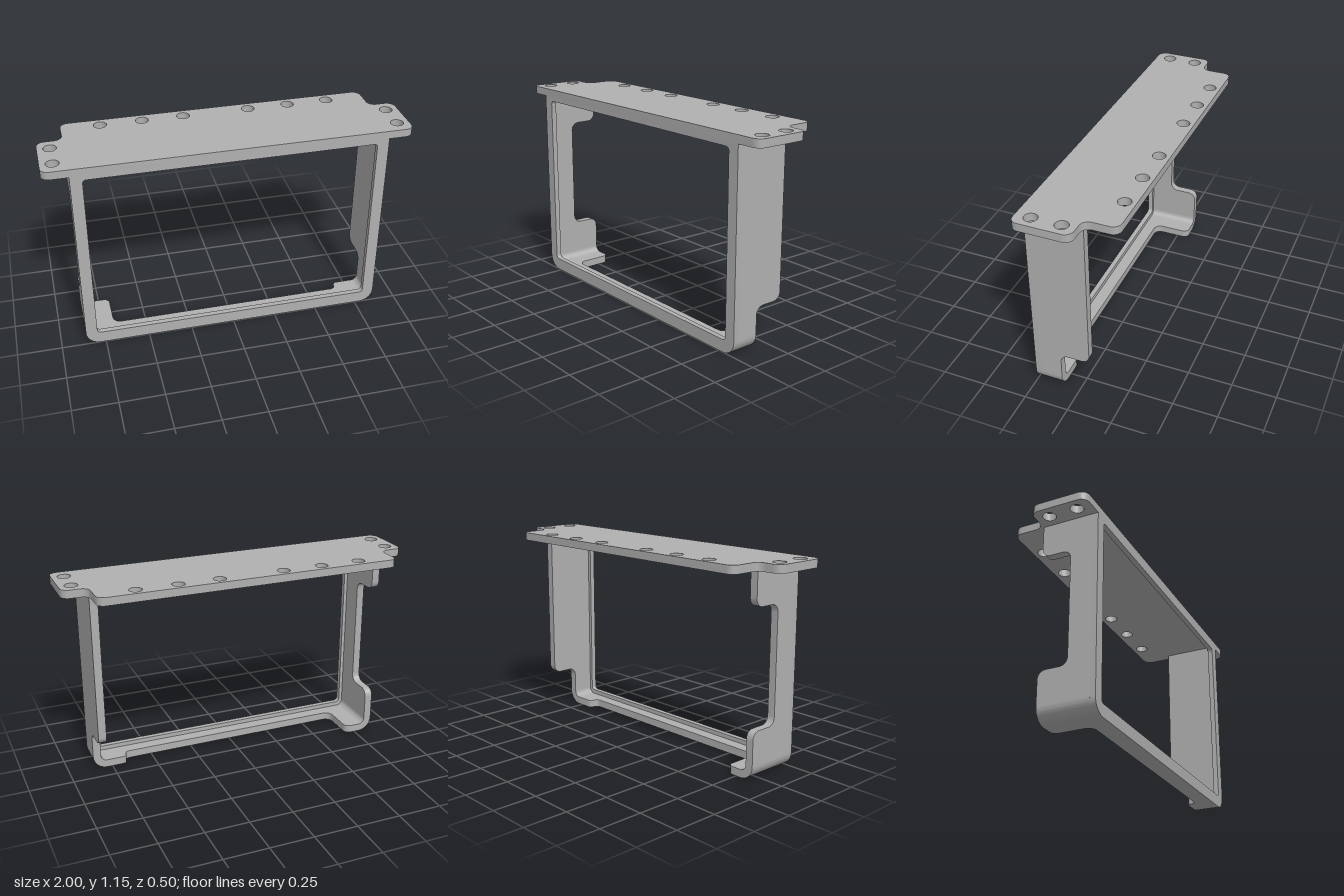
import * as THREE from 'three';
import { toCreasedNormals } from 'three/addons/utils/BufferGeometryUtils.js';

// Closed outline from [x, y, cornerRadius] points, with circular corners
function rounded(points, path = new THREE.Shape()) {
  const n = points.length;
  points.forEach(([x, y, r = 0], i) => {
    const toward = ([px, py], d) => {
      const l = Math.hypot(px - x, py - y);
      return [x + (px - x) * d / l, y + (py - y) * d / l];
    };
    const prev = points[(i + n - 1) % n], next = points[(i + 1) % n];
    const a = toward(prev, r), b = toward(next, r);
    if (i === 0) path.moveTo(...a); else path.lineTo(...a);
    if (r > 0) path.bezierCurveTo(...toward(prev, r * 0.448), ...toward(next, r * 0.448), ...b);
  });
  path.closePath();
  return path;
}

function extrude(shape, depth) {
  return new THREE.ExtrudeGeometry(shape, { depth, bevelEnabled: false, curveSegments: 10 });
}

export function createModel() {
  const group = new THREE.Group();
  const metal = new THREE.MeshStandardMaterial({ color: 0xb0b0b0 });
  metal.name = 'grey metal';

  const add = (name, geometry, x = 0, y = 0, z = 0) => {
    const mesh = new THREE.Mesh(toCreasedNormals(geometry, 0.5), metal);
    mesh.name = name;
    mesh.position.set(x, y, z);
    group.add(mesh);
  };

  const T = 0.045;                 // sheet thickness
  const W = 0.86, R = 0.08;        // half width and outer corner radius
  const front = 0.25, lipBack = 0.22, mid = 0.095, back = -0.07;
  const under = 1.15 - T;          // underside of the top plate

  // Top plate with stepped ends and screw holes
  const plate = rounded([
    [-1, front, 0.045], [-1, back, 0.045], [-W, back, 0.045], [-W, -0.25, 0.045],
    [W, -0.25, 0.045], [W, back, 0.045], [1, back, 0.045], [1, front, 0.045],
  ]);
  const holes = [[0.645, -0.19], [0.415, -0.19], [0.185, -0.19], [0.932, 0.005], [0.932, 0.166]];
  for (const s of [-1, 1]) {
    for (const [x, z] of holes) {
      plate.holes.push(new THREE.Path().absarc(s * x, z, 0.036, 0, Math.PI * 2, true));
    }
  }
  add('topPlate', extrude(plate, T).rotateX(Math.PI / 2), 0, 1.15, 0);

  // Front lip around the opening
  const lip = rounded([[-W, 0, R], [W, 0, R], [W, under], [-W, under]]);
  lip.holes.push(rounded([
    [-0.795, 0.07, 0.02], [-0.795, 1.08, 0.02], [0.795, 1.08, 0.02], [0.795, 0.07, 0.02],
  ], new THREE.Path()));
  add('frontLip', extrude(lip, front - lipBack), 0, 0, lipBack);

  // Side walls, outlined in (z, y)
  const leftWall = rounded([
    [lipBack, R], [lipBack, under], [back, under], [back, 0.235, 0.045], [mid, 0.235, 0.045], [mid, R],
  ]);
  add('leftWall', extrude(leftWall, T).rotateY(-Math.PI / 2), W);

  const rightWall = rounded([
    [lipBack, R], [lipBack, under], [back, under], [back, 0.92, 0.045], [mid, 0.92, 0.045],
    [mid, 0.27, 0.045], [back, 0.27, 0.045], [back, R],
  ]);
  add('rightWall', extrude(rightWall, T).rotateY(-Math.PI / 2), -W + T);

  // Curved bends joining the walls to the floor
  const bend = (start, end) => {
    const s = new THREE.Shape();
    s.absarc(0, 0, R, start, end, false);
    s.absarc(0, 0, R - T, end, start, true);
    s.closePath();
    return s;
  };
  add('leftBend', extrude(bend(Math.PI * 1.5, Math.PI * 2), lipBack - mid), W - R, R, mid);
  add('rightBend', extrude(bend(Math.PI, Math.PI * 1.5), lipBack - back), -W + R, R, back);

  // Floor strip with a deep tab at one end and a shallow one at the other
  const inner = W - R, tab = 0.69, strip = 0.15;
  const floor = rounded([
    [-inner, lipBack], [-inner, back], [-tab, back, 0.035], [-tab, strip, 0.045],
    [tab - 0.03, strip, 0.027], [tab - 0.03, mid, 0.027], [inner, mid], [inner, lipBack],
  ]);
  add('floor', extrude(floor, T).rotateX(Math.PI / 2), 0, T, 0);

  return group;
}
